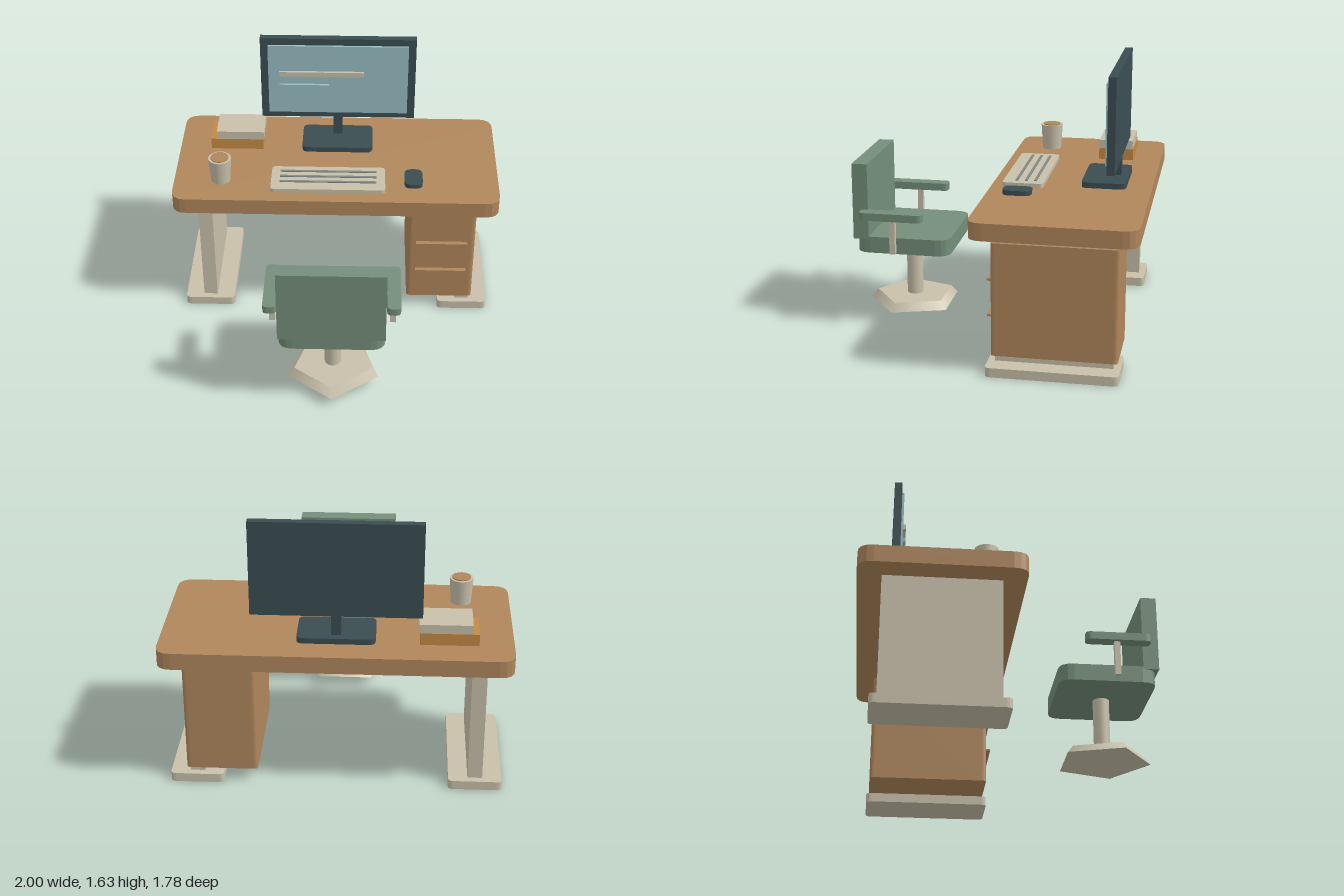
import * as THREE from 'three';

const mat = (name, color) => {
  const m = new THREE.MeshStandardMaterial({ color });
  m.name = name;
  return m;
};

export function createModel() {
  const wood = mat('wood', 0xb0875c);
  const cream = mat('cream', 0xc8c0aa);
  const green = mat('green fabric', 0x748e7a);
  const dark = mat('dark slate', 0x3b4d52);
  const blue = mat('screen blue', 0x97bdc3);
  const orange = mat('orange cover', 0xc48a45);
  const grey = mat('key grey', 0x7f8a86);

  const model = new THREE.Group();
  model.name = 'deskSet';
  const group = (name) => {
    const g = new THREE.Group();
    g.name = name;
    model.add(g);
    return g;
  };
  const desk = group('desk'), chair = group('chair'), monitor = group('monitor');
  const keyboard = group('keyboard'), cup = group('cup'), books = group('books');

  const add = (parent, name, geo, material, x = 0, y = 0, z = 0) => {
    const mesh = new THREE.Mesh(geo, material);
    mesh.name = name;
    mesh.position.set(x, y, z);
    parent.add(mesh);
    return mesh;
  };
  // Box given by its [min, max] along each axis
  const box = (parent, name, material, [x0, x1], [y0, y1], [z0, z1]) =>
    add(parent, name, new THREE.BoxGeometry(x1 - x0, y1 - y0, z1 - z0), material,
      (x0 + x1) / 2, (y0 + y1) / 2, (z0 + z1) / 2);
  // Same, with the four vertical edges rounded
  const slab = (parent, name, material, [x0, x1], [y0, y1], [z0, z1], r) => {
    const a = (x1 - x0) / 2, b = (z1 - z0) / 2;
    const s = new THREE.Shape();
    s.moveTo(-a + r, -b);
    s.lineTo(a - r, -b);
    s.quadraticCurveTo(a, -b, a, -b + r);
    s.lineTo(a, b - r);
    s.quadraticCurveTo(a, b, a - r, b);
    s.lineTo(-a + r, b);
    s.quadraticCurveTo(-a, b, -a, b - r);
    s.lineTo(-a, -b + r);
    s.quadraticCurveTo(-a, -b, -a + r, -b);
    const geo = new THREE.ExtrudeGeometry(s, { depth: y1 - y0, bevelEnabled: false, curveSegments: 4 });
    geo.rotateX(-Math.PI / 2);
    return add(parent, name, geo, material, (x0 + x1) / 2, y0, (z0 + z1) / 2);
  };
  const span = (c, w) => [c - w / 2, c + w / 2];

  // Desk: top, panel legs on feet, drawer cabinet
  slab(desk, 'deskTop', wood, [-1, 1], [0.807, 0.908], [-0.893, 0.05], 0.09);
  for (const s of [-1, 1]) {
    box(desk, 'deskLeg', cream, span(s * 0.812, 0.086), [0.05, 0.802], [-0.757, -0.085]);
    slab(desk, 'deskFoot', cream, span(s * 0.812, 0.312), [0, 0.055], [-0.798, -0.045], 0.03);
  }
  slab(desk, 'drawerCabinet', wood, [0.455, 0.873], [0.09, 0.757], [-0.782, -0.062], 0.025);
  for (const y of [0.525, 0.313])
    box(desk, 'drawerHandle', wood, span(0.664, 0.32), span(y, 0.012), [-0.064, -0.034]);

  // Chair: pentagonal foot, column, seat, backrest, arms
  add(chair, 'chairBase', new THREE.CylinderGeometry(0.243, 0.287, 0.05, 5), cream, 0, 0.09, 0.59);
  add(chair, 'chairColumn', new THREE.CylinderGeometry(0.05, 0.05, 0.36, 16), cream, 0, 0.29, 0.59);
  slab(chair, 'seat', green, [-0.31, 0.31], [0.462, 0.563], [0.3, 0.875], 0.085);
  box(chair, 'backrest', green, [-0.31, 0.31], [0.547, 1.015], [0.796, 0.89]);
  for (const s of [-1, 1]) {
    slab(chair, 'armrest', green, span(s * 0.355, 0.08), [0.69, 0.737], [0.448, 0.834], 0.03);
    box(chair, 'armPost', cream, span(s * 0.355, 0.034), [0.48, 0.692], span(0.634, 0.034));
  }

  // Monitor on its stand, with two bars on the screen
  slab(monitor, 'monitorBase', dark, [-0.223, 0.222], [0.912, 0.946], [-0.743, -0.48], 0.04);
  box(monitor, 'monitorNeck', dark, [-0.029, 0.029], [0.94, 1.108], [-0.697, -0.643]);
  box(monitor, 'monitorCase', dark, [-0.484, 0.484], [1.065, 1.628], [-0.702, -0.656]);
  box(monitor, 'screen', blue, [-0.437, 0.437], [1.107, 1.584], [-0.657, -0.642]);
  box(monitor, 'upperScreenBar', cream, [-0.367, 0.163], [1.377, 1.408], [-0.642, -0.625]);
  box(monitor, 'lowerScreenBar', blue, [-0.367, -0.058], [1.292, 1.317], [-0.642, -0.625]);

  // Keyboard and mouse
  slab(keyboard, 'keyboardBody', cream, [-0.398, 0.302], [0.92, 0.945], [-0.265, -0.023], 0.025);
  for (const z of [-0.213, -0.158, -0.103])
    box(keyboard, 'keyRow', grey, [-0.345, 0.247], [0.943, 0.951], span(z, 0.015));
  slab(model, 'mouse', dark, [0.42, 0.531], [0.934, 0.962], [-0.23, -0.062], 0.045);

  // Cup with drink
  add(cup, 'cupBody', new THREE.CylinderGeometry(0.07, 0.06, 0.158, 20), cream, -0.713, 0.989, -0.168);
  add(cup, 'drink', new THREE.CylinderGeometry(0.055, 0.055, 0.008, 20), wood, -0.713, 1.07, -0.168);

  // Stacked books
  box(books, 'lowerBook', orange, [-0.802, -0.472], [0.91, 0.982], [-0.722, -0.507]);
  box(books, 'upperBook', cream, [-0.765, -0.465], [0.982, 1.035], [-0.719, -0.509]);

  return model;
}
